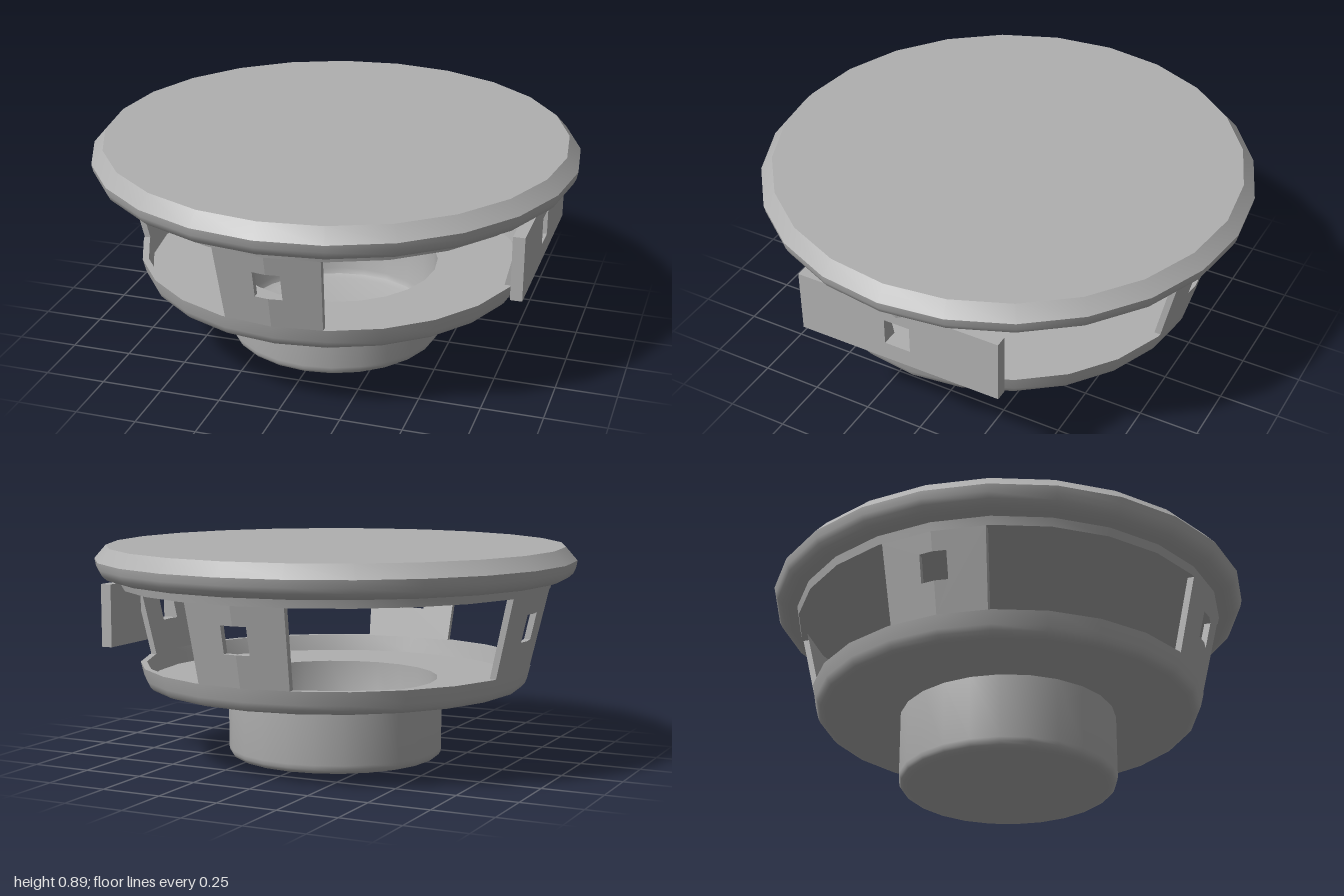
import * as THREE from 'three';
import { toCreasedNormals } from 'three/addons/utils/BufferGeometryUtils.js';

const SIDES = 24;
const WALL = 0.026;
const wallRadius = (y) => 0.80 + (y - 0.33) * 0.235; // flaring basket wall
const shapeOf = (pts) => new THREE.Shape(pts.map(([x, y]) => new THREE.Vector2(x, y)));

// Turned part with 24 sides, smooth except at sharp edges
function turned(profile) {
  const pts = profile.map(([r, y]) => new THREE.Vector2(r, y));
  return toCreasedNormals(new THREE.LatheGeometry(pts, SIDES), 0.6);
}

// Folded strut that follows two neighbouring facets of the basket, with a square hole
function strutGeometry() {
  const shapes = [1, -1].map((s) => shapeOf([
    [0, 0.40], [0.197, 0.40], [0.213, 0.72], [0, 0.72],
    [0, 0.642], [0.055, 0.642], [0.055, 0.53], [0, 0.53],
  ].map(([x, y]) => [s * x, y])));
  const geo = new THREE.ExtrudeGeometry(shapes, { depth: WALL, bevelEnabled: false });
  const p = geo.attributes.position;
  const fold = Math.tan(Math.PI / SIDES);
  for (let i = 0; i < p.count; i++) {
    p.setZ(i, wallRadius(p.getY(i)) - Math.abs(p.getX(i)) * fold - WALL + p.getZ(i));
  }
  geo.computeVertexNormals();
  return geo;
}

// Flat terminal plate with a square hole
function plateGeometry() {
  const shape = shapeOf([[-0.435, 0.455], [0.435, 0.455], [0.435, 0.72], [-0.435, 0.72]]);
  shape.holes.push(shapeOf([[-0.055, 0.53], [-0.055, 0.642], [0.055, 0.642], [0.055, 0.53]]));
  const geo = new THREE.ExtrudeGeometry(shape, { depth: 0.048, bevelEnabled: false });
  geo.rotateY(Math.PI / 2);
  geo.translate(0.833, 0, 0);
  return geo;
}

export function createModel() {
  const group = new THREE.Group();
  const grey = new THREE.MeshStandardMaterial({ color: 0xb0b0b0 });
  grey.name = 'grey';

  const add = (name, geo, angle = 0) => {
    const mesh = new THREE.Mesh(geo, grey);
    mesh.name = name;
    mesh.rotation.y = angle;
    group.add(mesh);
  };

  // Hollow magnet cup and lower basket ring
  add('magnetCupAndLowerRing', turned([
    [0, 0], [0.412, 0], [0.428, 0.004], [0.440, 0.012], [0.447, 0.024], [0.45, 0.04],
    [0.45, 0.305], [0.765, 0.305], [0.782, 0.311], [0.794, 0.324], [0.803, 0.345],
    [wallRadius(0.4), 0.40], [wallRadius(0.4) - WALL, 0.40], [0.775, 0.33],
    [0.43, 0.33], [0.43, 0.075], [0.42, 0.052], [0.395, 0.04], [0, 0.04],
  ]));

  // Upper basket ring with the closed, chamfered rim
  add('rimAndLid', turned([
    [0, 0.75], [wallRadius(0.75) - WALL, 0.75], [wallRadius(0.72) - WALL, 0.72],
    [wallRadius(0.72), 0.72], [0.90, 0.755], [0.94, 0.757], [0.965, 0.766],
    [0.983, 0.782], [0.994, 0.805], [1, 0.835], [0.952, 0.89], [0, 0.89],
  ]));

  // Four struts around the basket
  const strut = strutGeometry();
  ['front', 'left', 'back', 'right'].forEach((side, i) => add(side + 'Strut', strut, i * Math.PI / 2));

  add('terminalPlate', plateGeometry());
  return group;
}
